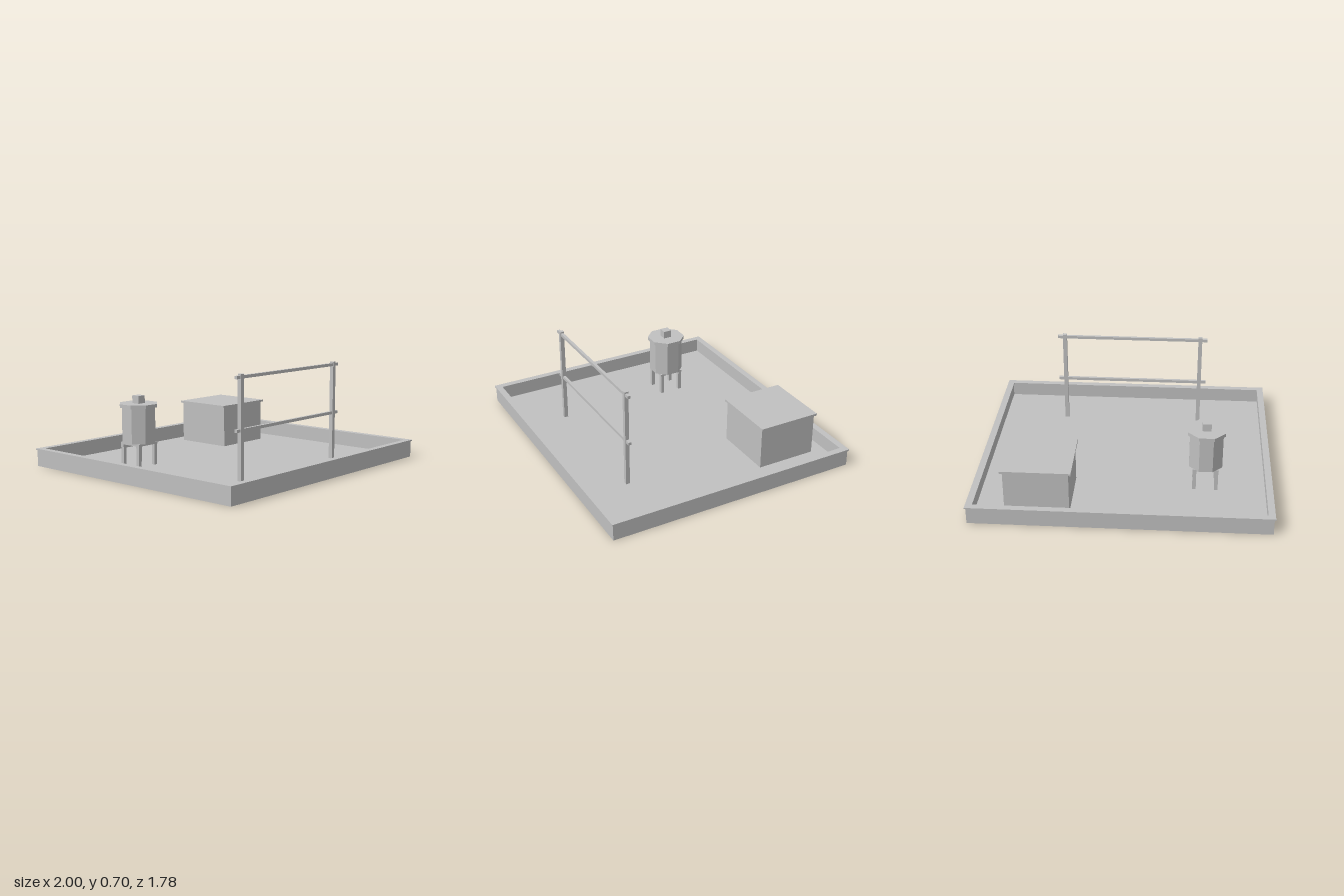
import * as THREE from 'three';

const FLOOR = 0.018;

export function createModel() {
  const root = new THREE.Group();
  root.name = 'rooftop';
  const grey = new THREE.MeshStandardMaterial({ color: 0xc0c0c0 });
  grey.name = 'light grey';
  grey.flatShading = true;

  const add = (parent, name, geometry, x = 0, y = 0, z = 0) => {
    const mesh = new THREE.Mesh(geometry, grey);
    mesh.name = name;
    mesh.position.set(x, y, z);
    parent.add(mesh);
    return mesh;
  };
  // Box given by its centre in x and z and its bottom and top heights
  const box = (parent, name, w, d, y0, y1, x = 0, z = 0) =>
    add(parent, name, new THREE.BoxGeometry(w, y1 - y0, d), x, (y0 + y1) / 2, z);
  // Upright octagonal prism with flat sides facing the axes
  const octagon = (parent, name, halfWidth, y0, y1) => {
    const r = halfWidth / Math.cos(Math.PI / 8);
    const geometry = new THREE.CylinderGeometry(r, r, y1 - y0, 8).rotateY(Math.PI / 8);
    return add(parent, name, geometry, 0, (y0 + y1) / 2, 0);
  };
  // Rectangular ring lying flat, from half sizes
  const ring = (name, ox, oz, ix, iz, y0, y1) => {
    const rect = (Type, x, z) => new Type([[-x, -z], [x, -z], [x, z], [-x, z]]
      .map(([a, b]) => new THREE.Vector2(a, b)));
    const shape = rect(THREE.Shape, ox, oz);
    shape.holes.push(rect(THREE.Path, ix, iz));
    const geometry = new THREE.ExtrudeGeometry(shape, { depth: y1 - y0, bevelEnabled: false });
    return add(root, name, geometry.rotateX(-Math.PI / 2), 0, y0, 0);
  };
  const group = (name, x, z) => {
    const g = new THREE.Group();
    g.name = name;
    g.position.set(x, 0, z);
    root.add(g);
    return g;
  };

  // Roof deck with surrounding parapet and its coping
  box(root, 'roofDeck', 1.97, 1.75, 0, FLOOR);
  ring('parapet', 0.992, 0.882, 0.961, 0.853, 0, 0.114);
  ring('parapetCoping', 1, 0.89, 0.954, 0.845, 0.114, 0.123);

  // Hut with overhanging flat roof
  const hut = group('hut', 0.55, -0.543);
  box(hut, 'hutWalls', 0.43, 0.42, FLOOR, 0.312);
  box(hut, 'hutRoof', 0.464, 0.44, 0.312, 0.327);

  // Water tank on four legs
  const tank = group('waterTank', -0.552, -0.332);
  for (const sx of [-1, 1]) for (const sz of [-1, 1])
    box(tank, 'tankLeg', 0.025, 0.025, FLOOR, 0.162, sx * 0.074, sz * 0.074);
  box(tank, 'tankPlatform', 0.177, 0.177, 0.162, 0.176);
  octagon(tank, 'tankBody', 0.112, 0.176, 0.42);
  octagon(tank, 'tankLid', 0.126, 0.42, 0.444);
  box(tank, 'tankHatch', 0.06, 0.06, 0.444, 0.497);

  // Open frame of two posts and two rails
  const frame = group('frame', 0, 0.536);
  for (const s of [-1, 1]) box(frame, 'framePost', 0.028, 0.028, FLOOR, 0.705, s * 0.497);
  for (const y of [0.345, 0.685]) box(frame, 'frameRail', 1.096, 0.02, y - 0.01, y + 0.01);

  return root;
}
